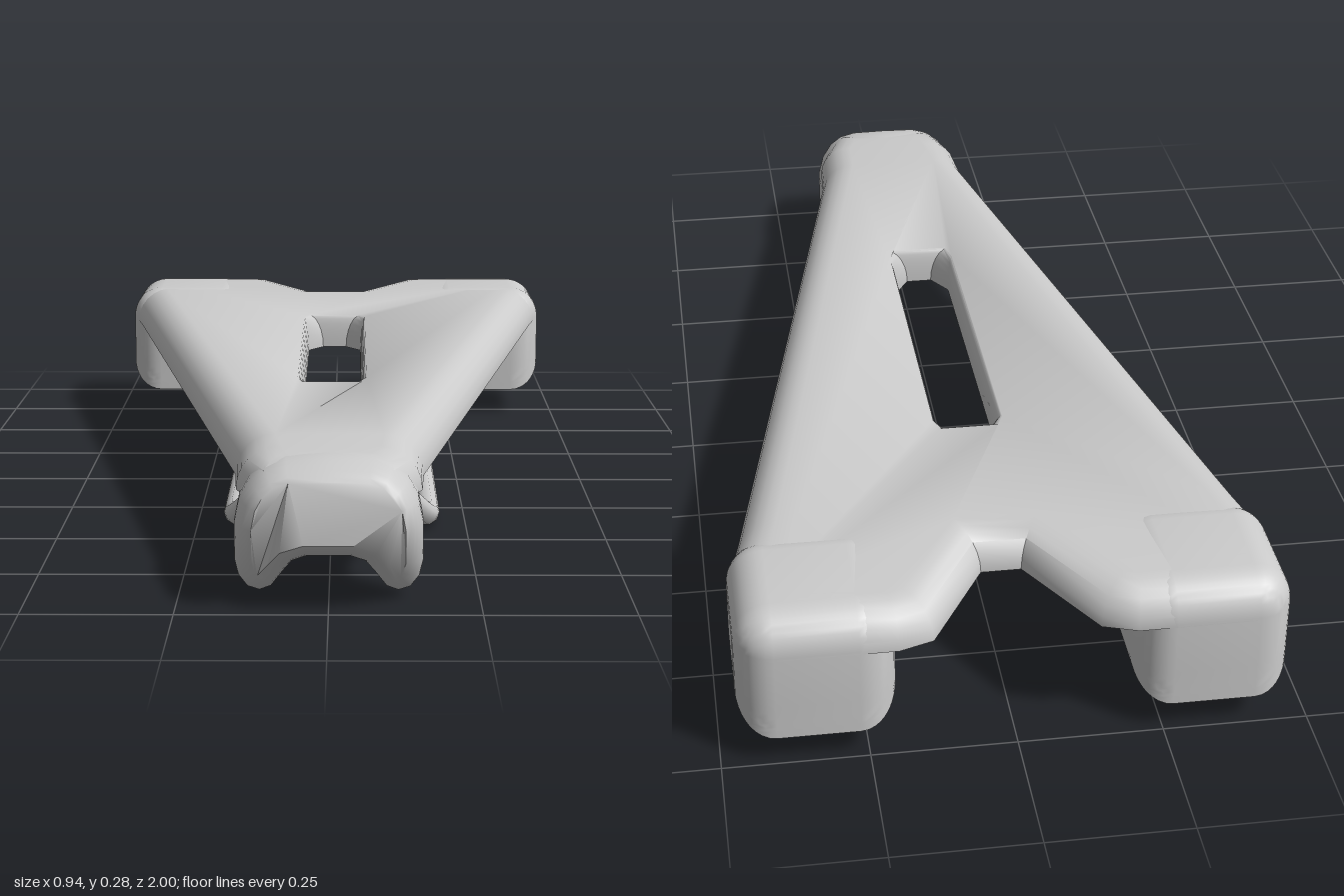
import * as THREE from 'three';
import { toCreasedNormals } from 'three/addons/utils/BufferGeometryUtils.js';
import { RoundedBoxGeometry } from 'three/addons/geometries/RoundedBoxGeometry.js';

const material = new THREE.MeshStandardMaterial({ color: 0xcccccc });
const { clamp, lerp } = THREE.MathUtils;

function part(name, geometry, x = 0, y = 0, z = 0) {
  const mesh = new THREE.Mesh(geometry, material);
  mesh.name = name;
  mesh.position.set(x, y, z);
  return mesh;
}

// Moves every vertex by a rule, then rebuilds the normals
function reshape(geometry, rule, crease = 0.75) {
  const p = geometry.attributes.position;
  const v = new THREE.Vector3();
  for (let i = 0; i < p.count; i++) {
    rule(v.fromBufferAttribute(p, i));
    p.setXYZ(i, v.x, v.y, v.z);
  }
  return toCreasedNormals(geometry, crease);
}

// Closed shape from the +x half of a symmetric outline
function mirroredShape(half) {
  const other = half.filter(([x]) => x !== 0).reverse().map(([x, y]) => [-x, y]);
  return new THREE.Shape([...half, ...other].map(([x, y]) => new THREE.Vector2(x, y)));
}

// Flat seat with a rolled upper edge, a slot and a rear notch
function seatGeometry() {
  const shape = mirroredShape([
    [0.12, -0.95], [0.155, -0.85], [0.16, -0.75], [0.445, 0.69], [0.47, 0.8],
    [0.47, 0.93], [0.40, 1.0], [0.2, 1.0], [0.14, 0.98], [0.035, 0.8],
  ]);
  const slot = mirroredShape([[0.025, -0.29], [0.055, -0.24], [0.055, 0.38], [0.025, 0.42]]);
  shape.holes.push(new THREE.Path(slot.getPoints()));
  const roll = 0.068;
  const geometry = new THREE.ExtrudeGeometry(shape, {
    depth: 0.002, bevelThickness: roll, bevelSize: roll, bevelOffset: -roll, bevelSegments: 6,
  });
  geometry.rotateX(-Math.PI / 2);
  return reshape(geometry, (v) => {
    // Keep the roll around the slot narrow
    if (Math.abs(v.x) < 0.135 && v.z > -0.53 && v.z < 0.4) {
      const ax = Math.abs(v.x);
      if (ax > 0.055) v.x = Math.sign(v.x) * (0.055 + (ax - 0.055) * 0.15);
      const dz = v.z + 0.065;
      if (Math.abs(dz) > 0.355) v.z = -0.065 + Math.sign(dz) * (0.355 + (Math.abs(dz) - 0.355) * 0.15);
    }
    // Flat underside, rising towards the rear
    v.y = Math.max(v.y, 0) + lerp(0.215, 0.175, clamp((v.z + 0.85) / 1.7, 0, 1));
  });
}

// Drooping nose with two lobes below
function noseGeometry() {
  const shape = mirroredShape([
    [0, 0.245], [0.07, 0.243], [0.105, 0.232], [0.13, 0.21], [0.147, 0.18], [0.155, 0.14],
    [0.156, 0.07], [0.15, 0.04], [0.135, 0.02], [0.115, 0.015], [0.095, 0.025],
    [0.075, 0.055], [0.06, 0.075], [0.035, 0.085], [0, 0.085],
  ]);
  const geometry = new THREE.ExtrudeGeometry(shape, {
    depth: 0.08, steps: 3, bevelThickness: 0.06, bevelSize: 0.03, bevelOffset: -0.03, bevelSegments: 6,
  });
  return reshape(geometry, (v) => {
    const t = (v.z + 0.06) / 0.2;
    const back = v.y > 0.175 ? 0.76 : 0.8 + 0.4 * (0.175 - v.y);
    const front = 1 - 0.8 * Math.max(0, 0.12 - v.y) - 6 * Math.max(0, v.y - 0.15) ** 2;
    v.z = lerp(back, front, t) - t * 4 * Math.max(0, Math.abs(v.x) - 0.06) ** 2;
  }, 0.9);
}

// Rear pad: rounded on top and at the sides, square along the lower cross edges
function padGeometry() {
  const [w, h, d, r] = [0.27, 0.23, 0.28, 0.065];
  return reshape(new RoundedBoxGeometry(w, h, d, 5, r), (v) => {
    if (v.y > 0) return;
    const nx = clamp((Math.abs(v.x) - (w / 2 - r)) / r, 0, 1);
    v.z = Math.sign(v.z) * (d / 2 - r + r * Math.sqrt(1 - nx * nx));
  });
}

// Bent rail: straight runs joined by short curved bends
function railGeometry(side) {
  const points = [
    [0.275, 0.185, -0.66], [0.275, 0.182, -0.52], [0.18, 0.023, -0.29],
    [0.18, 0.023, 0.42], [0.085, 0.143, 0.56], [0.07, 0.145, 0.78],
  ].map(([x, y, z]) => new THREE.Vector3(x * side, y, z));
  const path = new THREE.CurvePath();
  let from = points[0];
  for (let i = 1; i < points.length - 1; i++) {
    const corner = points[i];
    const near = (p) => corner.clone().add(p.clone().sub(corner).setLength(0.06));
    const a = near(points[i - 1]);
    const b = near(points[i + 1]);
    path.add(new THREE.LineCurve3(from, a));
    path.add(new THREE.QuadraticBezierCurve3(a, corner, b));
    from = b;
  }
  path.add(new THREE.LineCurve3(from, points[points.length - 1]));
  return new THREE.TubeGeometry(path, 90, 0.022, 10);
}

export function createModel() {
  const model = new THREE.Group();
  model.name = 'saddle';
  model.add(part('seat', seatGeometry()), part('nose', noseGeometry()));
  for (const [side, label] of [[1, 'left'], [-1, 'right']]) {
    model.add(
      part(label + 'RearPad', padGeometry(), side * 0.335, 0.17, -0.86),
      part(label + 'Rail', railGeometry(side)),
      part(label + 'RearMount', new THREE.BoxGeometry(0.07, 0.07, 0.14), side * 0.27, 0.19, -0.67),
      part(label + 'FrontMount', new THREE.BoxGeometry(0.07, 0.07, 0.12), side * 0.07, 0.15, 0.785),
    );
  }
  return model;
}
